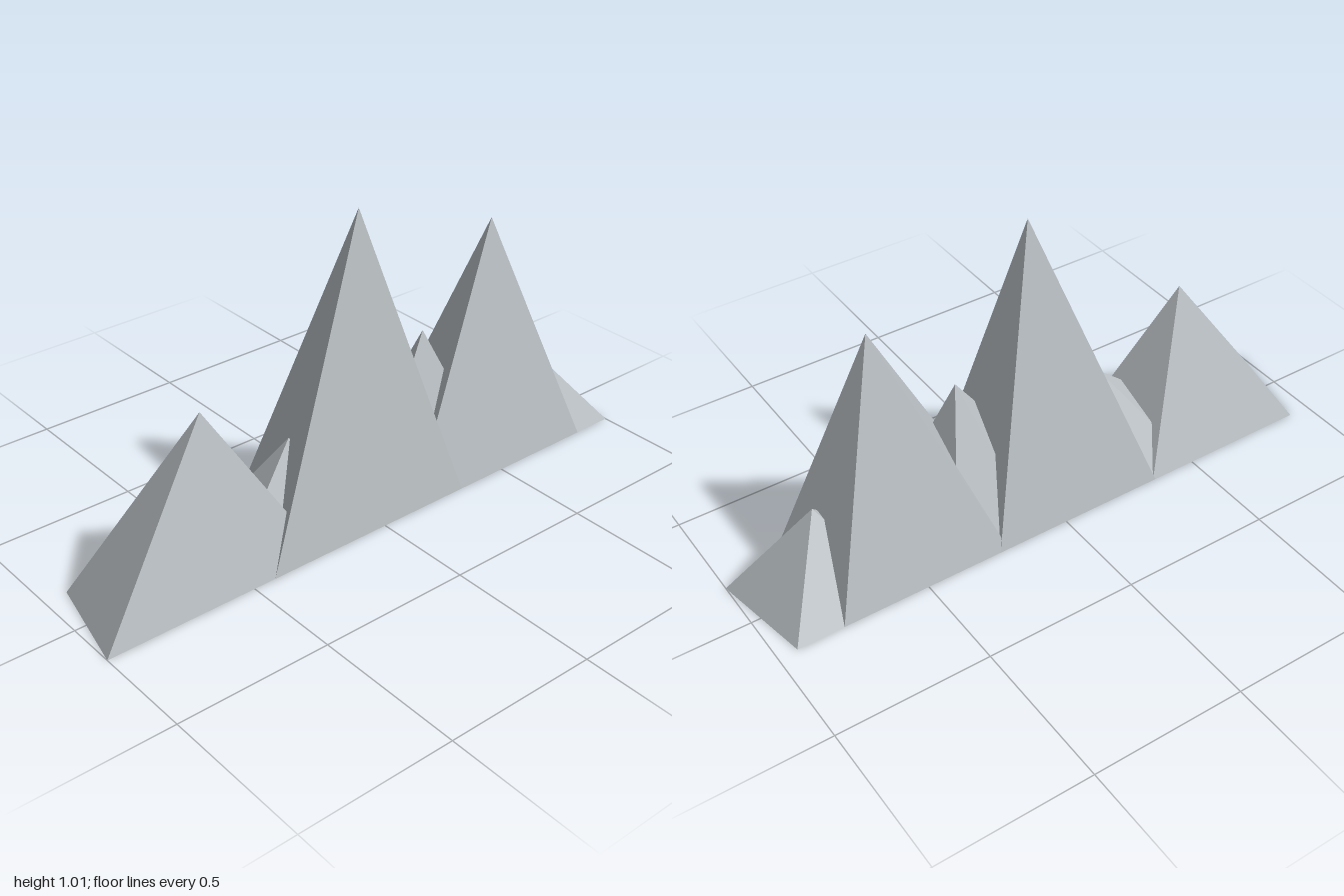
import * as THREE from 'three';

const FRONT = 0.168, BACK = -0.168, RIDGE = 0.03;

// Four-sided peak: apex, then x of the front and back base corners
function peakGeometry(apexX, height, frontL, frontR, backL, backR) {
  const apex = [apexX, height, RIDGE];
  const fl = [frontL, 0, FRONT], fr = [frontR, 0, FRONT];
  const bl = [backL, 0, BACK], br = [backR, 0, BACK];
  const faces = [
    fl, fr, apex, // front
    fr, br, apex, // right
    br, bl, apex, // back
    bl, fl, apex, // left
    fl, bl, br, fl, br, fr, // underside
  ];
  const geometry = new THREE.BufferGeometry();
  geometry.setAttribute('position', new THREE.Float32BufferAttribute(faces.flat(), 3));
  geometry.computeVertexNormals();
  return geometry;
}

export function createModel() {
  const group = new THREE.Group();
  group.name = 'mountainRange';
  const stone = new THREE.MeshStandardMaterial({ color: 0xbcc2c6, flatShading: true });
  stone.name = 'paleStone';

  const peaks = {
    // large peaks
    leftmostPeak: [-0.567, 0.555, -1, -0.24, -0.925, -0.34],
    mainPeak: [0.007, 1.008, -0.425, 0.322, -0.35, 0.245],
    tallSidePeak: [0.542, 0.83, 0.11, 0.86, 0.215, 0.785],
    // small peaks filling the gaps
    lowGapPeak: [-0.26, 0.352, -0.63, 0.08, -0.5, 0.0],
    middleGapPeak: [0.265, 0.532, -0.11, 0.49, 0.095, 0.4],
    endPeak: [0.757, 0.297, 0.5, 1, 0.56, 0.938],
  };
  for (const [name, values] of Object.entries(peaks)) {
    const mesh = new THREE.Mesh(peakGeometry(...values), stone);
    mesh.name = name;
    group.add(mesh);
  }
  return group;
}
